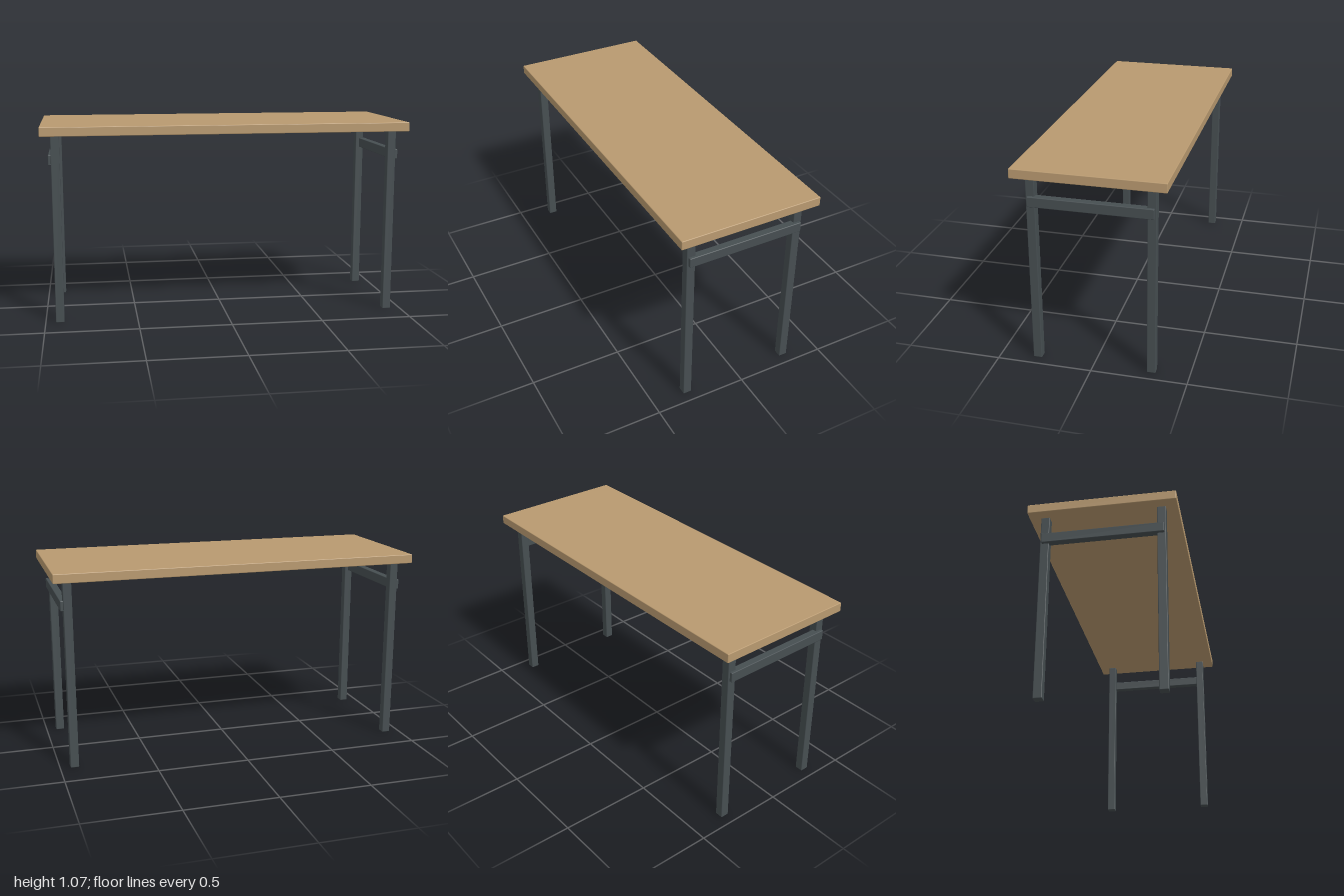
import * as THREE from 'three';
import { RoundedBoxGeometry } from 'three/addons/geometries/RoundedBoxGeometry.js';

export function createModel() {
  const wood = new THREE.MeshStandardMaterial({ name: 'wood', color: 0xb8996f });
  const metal = new THREE.MeshStandardMaterial({ name: 'dark metal', color: 0x464e51 });
  const table = new THREE.Group();
  table.name = 'table';

  // Box with slightly eased edges, placed by its centre
  function addBox(name, material, size, position) {
    const mesh = new THREE.Mesh(new RoundedBoxGeometry(...size, 2, 0.004), material);
    mesh.name = name;
    mesh.position.set(...position);
    table.add(mesh);
  }

  addBox('tabletop', wood, [2, 0.05, 0.774], [0, 1.046, 0]);

  for (const [side, x] of [['left', 1], ['right', -1]]) {
    // Square legs near the corners
    for (const [end, z] of [['front', 1], ['back', -1]]) {
      addBox(`${end} ${side} leg`, metal, [0.046, 1.021, 0.046], [x * 0.922, 0.5105, z * 0.303]);
    }
    // Cross rail joining each pair of legs, standing proud of their outer faces
    addBox(`${side} rail`, metal, [0.04, 0.054, 0.634], [x * 0.94, 0.889, 0]);
  }

  return table;
}
